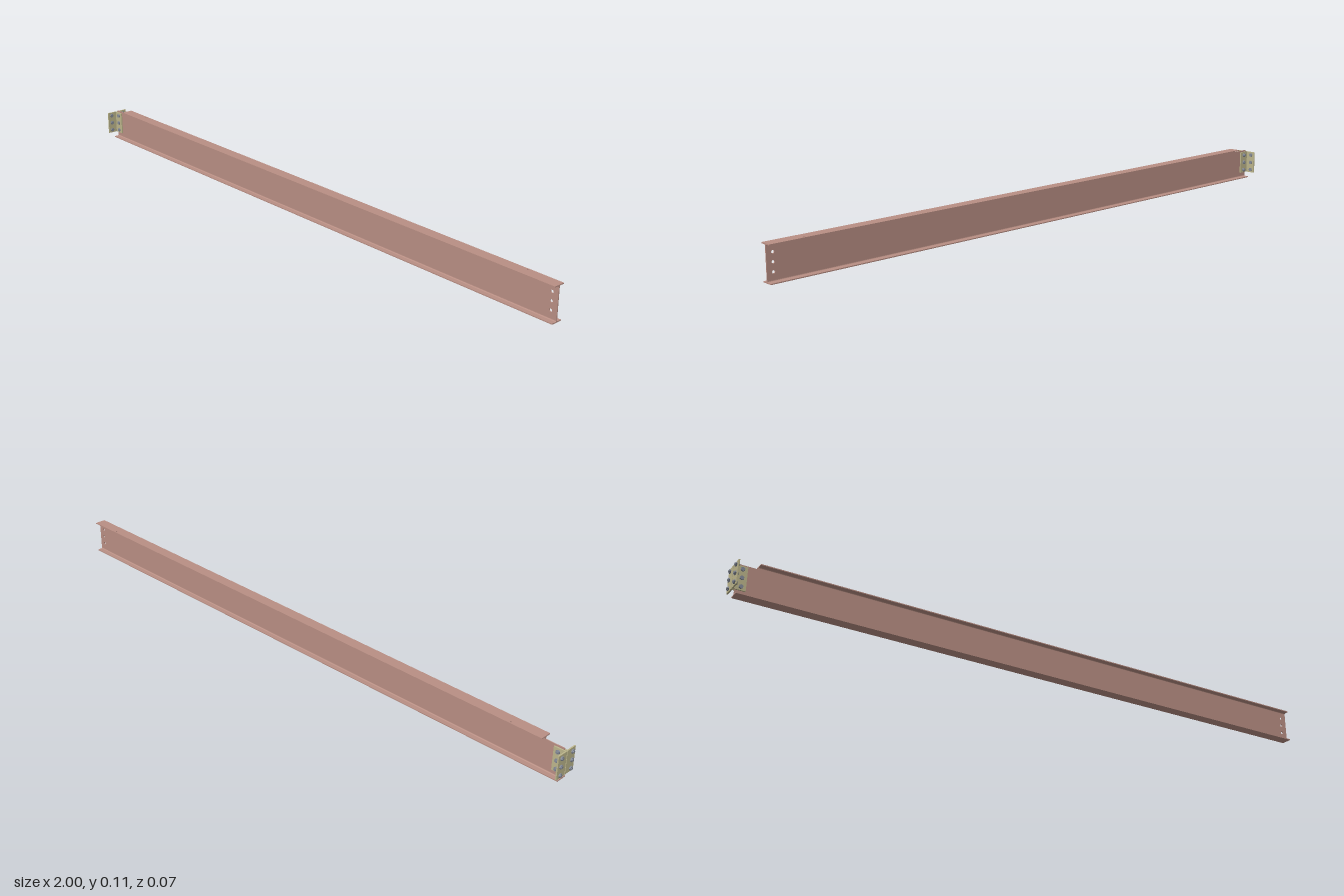
import * as THREE from 'three';

const H = 0.1065, FT = 0.003, FW = 0.036, WT = 0.003; // section sizes
const X0 = -0.985, COPE = -0.925, X1 = 1, COPE_Y = 0.097;
const ROWS = [0.028, 0.0545, 0.081];

const steel = new THREE.MeshStandardMaterial({ color: 0xb98f84 });
const clipSteel = new THREE.MeshStandardMaterial({ color: 0xbdb68c });
const boltSteel = new THREE.MeshStandardMaterial({ color: 0x858b98, flatShading: true });

function polygon(points) {
  return new THREE.Shape(points.map(([x, y]) => new THREE.Vector2(x, y)));
}

function addHole(shape, x, y, r) {
  const hole = new THREE.Path();
  hole.absarc(x, y, r, 0, Math.PI * 2, true);
  shape.holes.push(hole);
}

function extrude(shape, depth) {
  return new THREE.ExtrudeGeometry(shape, { depth, bevelEnabled: false, curveSegments: 12 });
}

function addMesh(parent, name, geometry, material) {
  const mesh = new THREE.Mesh(geometry, material);
  mesh.name = name;
  parent.add(mesh);
  return mesh;
}

// Flange plate lying flat, its upper face at y = top
function flange(parent, name, start, top, holes = []) {
  const w = FW / 2;
  const shape = polygon([[start, -w], [X1, -w], [X1, w], [start, w]]);
  holes.forEach(([x, z]) => addHole(shape, x, z, 0.003));
  const geometry = extrude(shape, FT).rotateX(Math.PI / 2).translate(0, top, 0);
  addMesh(parent, name, geometry, steel);
}

// Concave fillet between web and flange, running along x
function fillet(parent, start, y, sy, sz) {
  const r = 0.003, z = sz * WT / 2;
  const points = [[z, y]];
  for (let i = 0; i <= 4; i++) {
    const a = i / 4 * Math.PI / 2;
    points.push([z + sz * r * (1 - Math.cos(a)), y + sy * r * (1 - Math.sin(a))]);
  }
  const geometry = extrude(polygon(points), X1 - start);
  geometry.rotateY(Math.PI / 2).scale(1, 1, -1);
  // restore outward winding after the mirror
  const p = geometry.attributes.position;
  for (let i = 0; i < p.count; i += 3) {
    const a = new THREE.Vector3().fromBufferAttribute(p, i + 1);
    const b = new THREE.Vector3().fromBufferAttribute(p, i + 2);
    p.setXYZ(i + 1, b.x, b.y, b.z);
    p.setXYZ(i + 2, a.x, a.y, a.z);
  }
  geometry.computeVertexNormals();
  addMesh(parent, 'fillet', geometry.translate(start, 0, 0), steel);
}

// Hex bolt along local y: head above, nut and shank tip below a grip centred on 0
function bolt(name, grip) {
  const group = new THREE.Group();
  group.name = name;
  const cylinder = (part, r, h, y, sides) =>
    addMesh(group, part, new THREE.CylinderGeometry(r, r, h, sides).translate(0, y, 0), boltSteel);
  cylinder('boltHead', 0.0064, 0.0045, grip / 2 + 0.00225, 6);
  cylinder('nut', 0.0064, 0.005, -grip / 2 - 0.0025, 6);
  cylinder('shank', 0.0038, grip + 0.0075, -0.00375, 12);
  return group;
}

export function createModel() {
  const model = new THREE.Group();
  model.name = 'copedBeam';

  // Rolled beam: coped web with end holes, two flanges, fillets
  const beam = new THREE.Group();
  beam.name = 'beam';
  model.add(beam);
  const web = polygon([[X0, FT], [X1, FT], [X1, H - FT], [COPE, H - FT], [COPE, COPE_Y], [X0, COPE_Y]]);
  ROWS.forEach(y => addHole(web, 0.98, y, 0.0045));
  addMesh(beam, 'web', extrude(web, WT).translate(0, 0, -WT / 2), steel);
  flange(beam, 'bottomFlange', X0, FT);
  flange(beam, 'topFlange', COPE, H, [[-0.82, -0.011], [0.89, -0.011]]);
  for (const side of [1, -1]) {
    fillet(beam, X0, FT, 1, side);
    fillet(beam, COPE, H - FT, -1, side);
  }

  // Pair of clip angles either side of the web
  const connection = new THREE.Group();
  connection.name = 'endConnection';
  model.add(connection);
  const t = 0.004, face = -0.9935, toe = -0.955, inner = WT / 2, outer = 0.037;
  for (const side of [1, -1]) {
    const section = polygon([
      [face, inner], [toe, inner], [toe, inner + t], [face + t, inner + t],
      [face + t, outer], [face, outer],
    ].map(([x, z]) => [x, -side * z]));
    const geometry = extrude(section, 0.074).rotateX(-Math.PI / 2).translate(0, 0.018, 0);
    addMesh(connection, side > 0 ? 'leftClipAngle' : 'rightClipAngle', geometry, clipSteel);

    // Bolts through the outstanding legs
    for (const y of ROWS) {
      const legBolt = bolt('supportBolt', t);
      legBolt.rotation.z = -Math.PI / 2;
      legBolt.position.set(face + t / 2, y, side * 0.024);
      legBolt.scale.y = 0.85;
      connection.add(legBolt);
    }
  }

  // Bolts through the web legs
  for (const y of ROWS) {
    const webBolt = bolt('webBolt', WT + 2 * t);
    webBolt.rotation.x = Math.PI / 2;
    webBolt.position.set(-0.97, y, 0);
    connection.add(webBolt);
  }
  return model;
}
